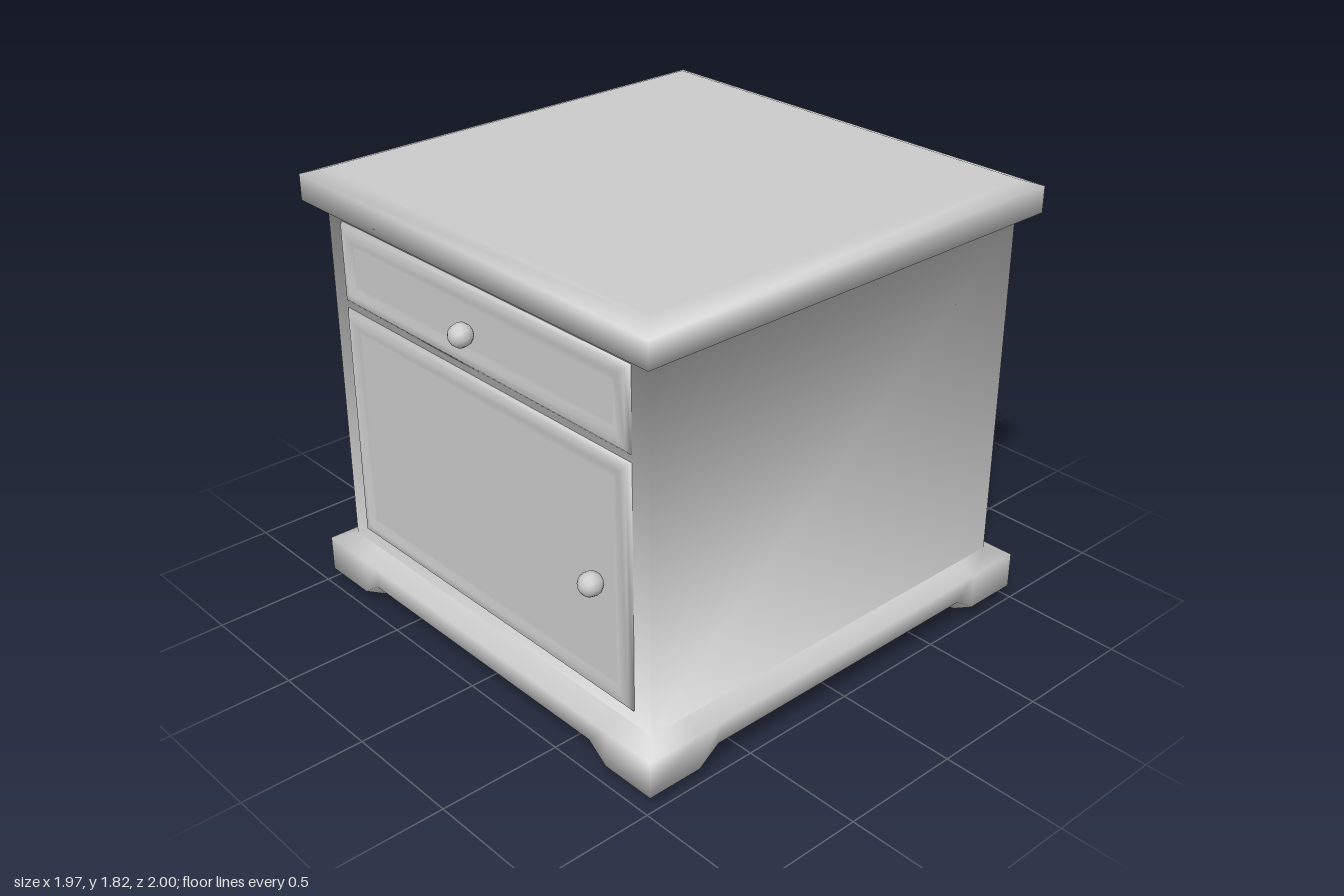
import * as THREE from 'three';
import { mergeVertices } from 'three/addons/utils/BufferGeometryUtils.js';

const material = new THREE.MeshStandardMaterial({ color: 0xcccccc, side: THREE.DoubleSide });

// Collects quads between successive closed rings of [x, y, z] points
function loft(out, rings, cap) {
  const quad = (a, b, c, d) => out.push(...a, ...b, ...c, ...a, ...c, ...d);
  for (let r = 0; r + 1 < rings.length; r++) {
    const a = rings[r], b = rings[r + 1], n = a.length;
    for (let i = 0; i < n; i++) {
      const j = (i + 1) % n;
      quad(a[i], a[j], b[j], b[i]);
    }
  }
  if (cap) quad(...rings[rings.length - 1]);
}

// Welded geometry whose smooth normals give every face the same weight
function smoothGeometry(points) {
  const raw = new THREE.BufferGeometry();
  raw.setAttribute('position', new THREE.Float32BufferAttribute(points, 3));
  const geo = mergeVertices(raw, 1e-4);
  const pos = geo.attributes.position, index = geo.index;
  const sums = Array.from({ length: pos.count }, () => new THREE.Vector3());
  const tri = new THREE.Triangle(), normal = new THREE.Vector3();
  for (let i = 0; i < index.count; i += 3) {
    const ids = [0, 1, 2].map((k) => index.getX(i + k));
    tri.setFromAttributeAndIndices(pos, ...ids);
    tri.getNormal(normal);
    ids.forEach((id) => sums[id].add(normal));
  }
  const normals = sums.flatMap((v) => v.normalize().toArray());
  geo.setAttribute('normal', new THREE.Float32BufferAttribute(normals, 3));
  return geo;
}

function addMesh(parent, name, geometry) {
  const mesh = new THREE.Mesh(geometry, material);
  mesh.name = name;
  parent.add(mesh);
  return mesh;
}

// Horizontal square ring
const square = (h, y) => [[h, y, h], [h, y, -h], [-h, y, -h], [-h, y, h]];

// Square ring with extra points beside each foot: low at the corners, high between them
function footRing(h, low, high) {
  const ring = [];
  for (let s = 0; s < 4; s++) {
    const c = Math.round(Math.cos(s * Math.PI / 2)), n = Math.round(Math.sin(s * Math.PI / 2));
    for (const [t, y] of [[h, low], [0.75, low], [0.66, high], [-0.66, high], [-0.75, low]]) {
      ring.push([h * c + t * n, y, t * c - h * n]);
    }
  }
  return ring;
}

// Hollow cabinet: footed plinth, walls and moulded top in one smooth shell
function cabinetGeometry() {
  const pts = [];
  loft(pts, [
    footRing(0.82, 0, 0.065),
    footRing(0.9, 0, 0.065),
    footRing(0.986, 0.05, 0.115),
    footRing(0.986, 0.2, 0.2),
    footRing(0.906, 0.23, 0.23),
  ], false);
  loft(pts, [
    square(0.906, 0.23),
    square(0.906, 1.655),
    square(0.975, 1.685),
    square(0.975, 1.79),
    square(0.905, 1.815),
    square(0.88, 1.815),
  ], true);
  return smoothGeometry(pts);
}

// Front panel with a raised moulding and a sunken field: [inset, z] steps
function panelGeometry(w, y0, y1) {
  const steps = [[0, 0.88], [0, 0.897], [0.015, 0.91], [0.045, 0.912], [0.07, 0.902], [0.085, 0.902]];
  const rings = steps.map(([d, z]) => [
    [-w + d, y0 + d, z], [w - d, y0 + d, z], [w - d, y1 - d, z], [-w + d, y1 - d, z],
  ]);
  const pts = [];
  loft(pts, rings, true);
  return smoothGeometry(pts);
}

export function createModel() {
  const model = new THREE.Group();
  model.name = 'bedsideCabinet';

  addMesh(model, 'cabinet', cabinetGeometry()).position.z = -0.0125;
  addMesh(model, 'drawerFront', panelGeometry(0.817, 1.305, 1.63));
  addMesh(model, 'door', panelGeometry(0.817, 0.287, 1.275));

  // Round knobs
  for (const [name, x, y] of [['drawerKnob', -0.01, 1.46], ['doorKnob', 0.665, 0.765]]) {
    const knob = addMesh(model, name, new THREE.SphereGeometry(0.047, 10, 8));
    knob.rotation.x = Math.PI / 2;
    knob.position.set(x, y, 0.953);
  }
  return model;
}
